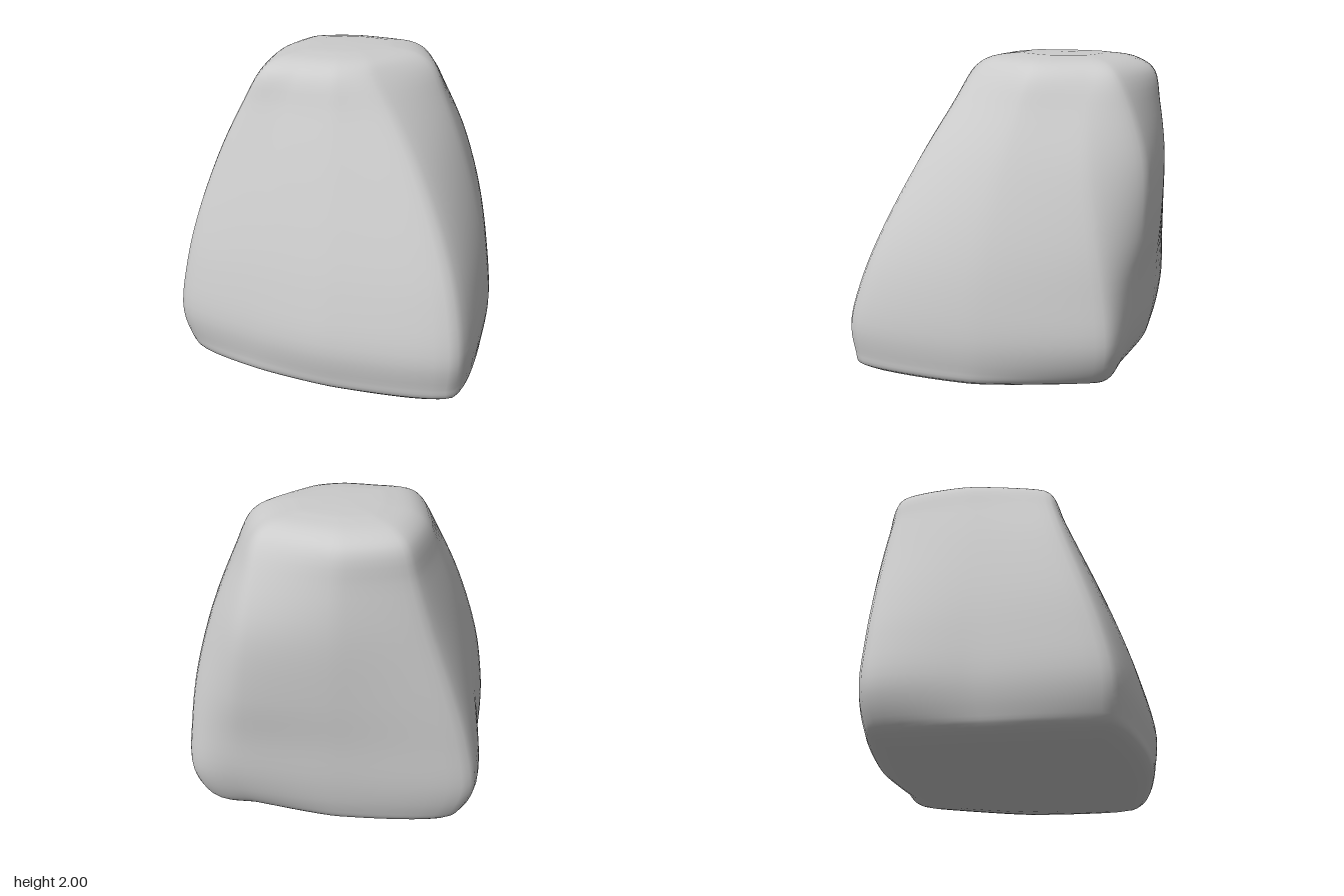
import * as THREE from 'three';

// Ridges from the front +x corner round by the back, each with [x, z] for the
// base, foot and crown, and the swell added between foot and crown
const ridges = [
  { base: [0.83, 0.8], foot: [0.86, 0.83], crown: [0.22, 0.23], swell: [0, 0] },
  { base: [0.9, 0.05], foot: [0.95, 0.03], crown: [0.5, -0.17], swell: [0, 0] },
  { base: [0.68, -0.66], foot: [0.82, -0.73], crown: [0.43, -0.52], swell: [0.05, 0.05] },
  { base: [0.42, -0.71], foot: [0.5, -0.82], crown: [0.35, -0.68], swell: [0.02, -0.12] },
  { base: [-0.1, -0.79], foot: [-0.1, -0.86], crown: [-0.1, -0.81], swell: [0, -0.06] },
  { base: [-0.76, -0.71], foot: [-0.89, -0.77], crown: [-0.46, -0.7], swell: [0.06, -0.01] },
  { base: [-0.87, -0.1], foot: [-0.94, -0.15], crown: [-0.56, -0.27], swell: [0, 0] },
  { base: [-0.85, 0.57], foot: [-0.95, 0.58], crown: [-0.49, 0.25], swell: [-0.02, -0.04] },
  { base: [-0.4, 0.77], foot: [-0.4, 0.8], crown: [-0.25, 0.31], swell: [0, 0] },
  { base: [0.15, 0.86], foot: [0.12, 0.9], crown: [0, 0.33], swell: [0, 0] },
];
const BASE_Y = 0.14, FOOT_Y = 0.4, CROWN_Y = 1.89;
const { lerp } = THREE.MathUtils;

// Outline of the body: the sides curve inwards late, the front slopes almost straight
function bodyOutline(y) {
  const s = (y - FOOT_Y) / (CROWN_Y - FOOT_Y);
  const bulge = Math.sin(Math.PI * s ** 1.5);
  return ridges.map(({ foot, crown, swell }) => new THREE.Vector3(
    lerp(foot[0], crown[0], s ** 1.7) + swell[0] * bulge,
    y,
    lerp(foot[1], crown[1], s ** (foot[1] > 0.1 ? 1.3 : 1.7)) + swell[1] * bulge,
  ));
}

// Outline of the tucked-in edge below the foot
const edgeOutline = (y, t) => ridges.map(({ base, foot }) =>
  new THREE.Vector3(lerp(base[0], foot[0], t), y, lerp(base[1], foot[1], t)));

// Outline shrunk towards a centre, for the domed top and the shallow underside
const inset = (points, y, k, cx, cz) =>
  points.map((p) => new THREE.Vector3(cx + (p.x - cx) * k, y, cz + (p.z - cz) * k));

function createBoulderGeometry() {
  const around = 80, up = 48;
  const base = edgeOutline(BASE_Y, 0), crown = bodyOutline(CROWN_Y);
  const rings = [
    inset(base, 0.007, 0.25, -0.1, 0),
    inset(base, 0.045, 0.62, -0.08, 0),
    base,
    edgeOutline(0.22, 0.55),
    ...[FOOT_Y, 0.7, 1, 1.4, 1.7].map(bodyOutline),
    crown,
    inset(crown, 1.96, 0.82, -0.05, -0.25),
    inset(crown, 1.995, 0.45, -0.05, -0.25),
  ];

  // Smooth each outline around, keeping fairly tight corners, then between outlines
  const loops = rings.map((points) => {
    const curve = new THREE.CatmullRomCurve3(points, true, 'catmullrom', 0.3);
    return Array.from({ length: around }, (_, j) => curve.getPoint(j / around));
  });
  const columns = Array.from({ length: around }, (_, j) =>
    new THREE.CatmullRomCurve3(loops.map((loop) => loop[j])));

  const points = [], index = [];
  for (let i = 0; i <= up; i++) {
    for (const column of columns) points.push(column.getPoint(i / up));
  }
  const bottom = points.length, top = bottom + 1;
  points.push(new THREE.Vector3(-0.1, 0, 0), new THREE.Vector3(-0.05, 2, -0.25));

  for (let j = 0; j < around; j++) {
    const k = (j + 1) % around;
    for (let i = 0; i < up; i++) {
      const a = i * around + j, b = i * around + k;
      index.push(a, b, b + around, a, b + around, a + around);
    }
    index.push(bottom, k, j, top, up * around + j, up * around + k);
  }

  const geometry = new THREE.BufferGeometry().setFromPoints(points);
  geometry.setIndex(index);
  geometry.computeVertexNormals();
  return geometry;
}

export function createModel() {
  const group = new THREE.Group();
  group.name = 'rock';
  const boulder = new THREE.Mesh(
    createBoulderGeometry(),
    new THREE.MeshStandardMaterial({ color: 0xcccccc }),
  );
  boulder.name = 'boulder';
  group.add(boulder);
  return group;
}
